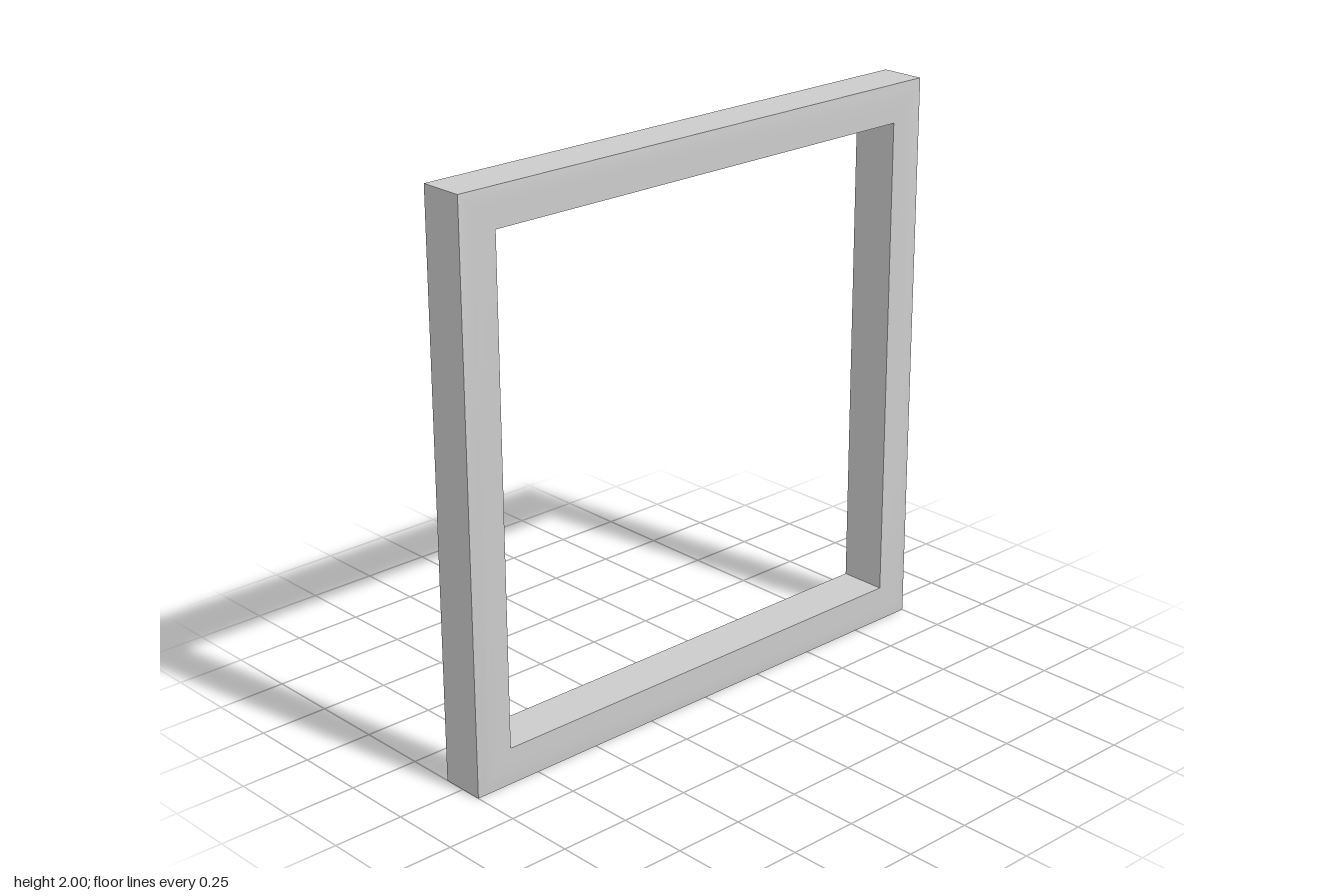
import * as THREE from 'three';
import { toCreasedNormals } from 'three/addons/utils/BufferGeometryUtils.js';

export function createModel() {
  const group = new THREE.Group();
  group.name = 'squareFrame';

  // Cross-section of a rail: [distance from centre, depth], gently eased outer edges
  const section = [
    [1, -0.079], [1, 0.079], [0.975, 0.083], [0.945, 0.085], [0.867, 0.085],
    [0.867, -0.085], [0.945, -0.085], [0.975, -0.083], [1, -0.079],
  ].map(([r, z]) => new THREE.Vector2(r * Math.SQRT2, z));

  // Four-sided sweep gives four rails with mitred corners
  const sweep = new THREE.LatheGeometry(section, 4, Math.PI / 4);
  sweep.rotateX(Math.PI / 2);
  sweep.translate(0, 1, 0);

  const frame = new THREE.Mesh(
    toCreasedNormals(sweep, 0.5),
    new THREE.MeshStandardMaterial({ color: 0xcccccc })
  );
  frame.name = 'frame';
  group.add(frame);
  return group;
}
